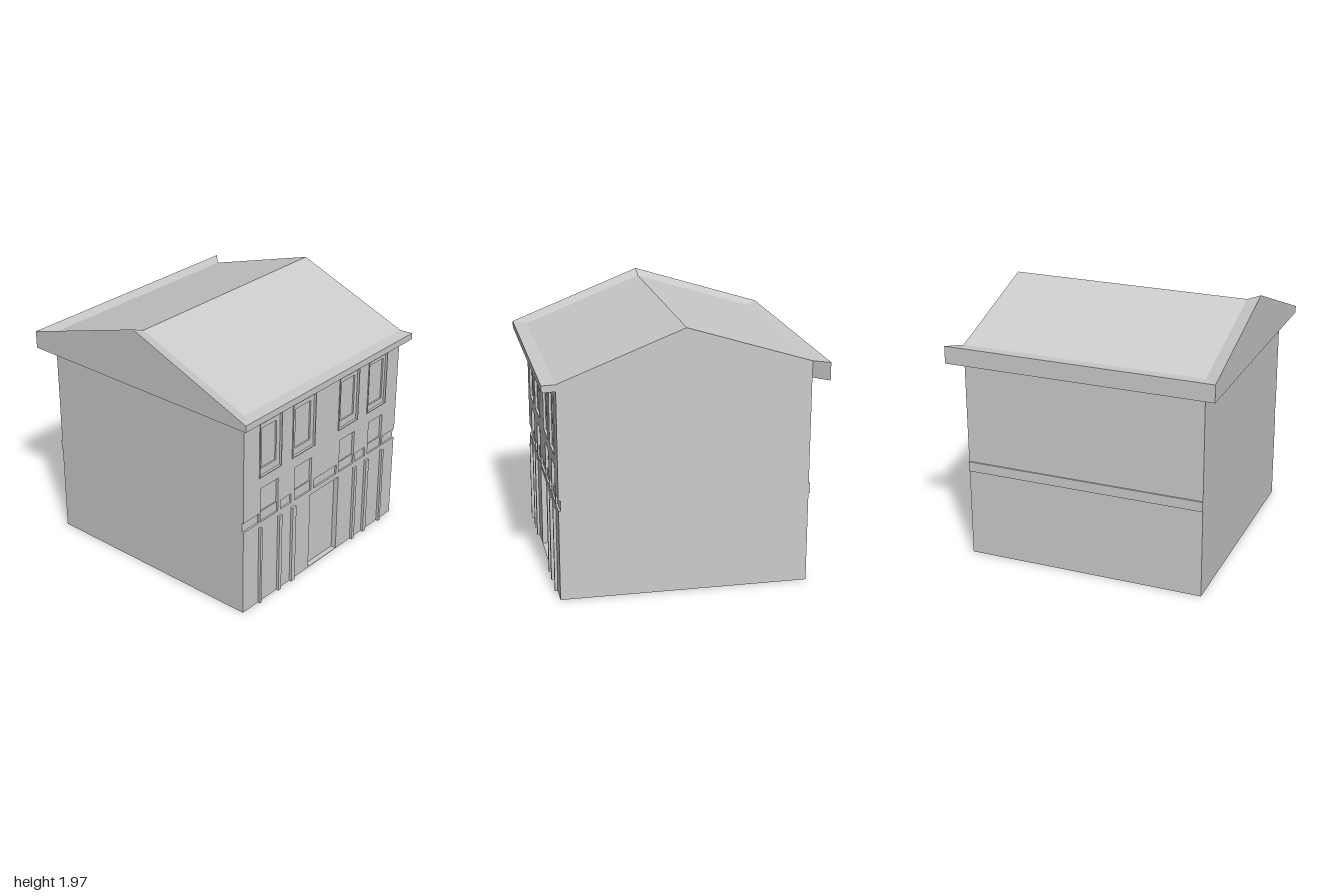
import * as THREE from 'three';

const mat = new THREE.MeshStandardMaterial({ color: 0xcccccc, flatShading: true });
const WALL = 0.9, EAVE = 1.53, CORE = 0.86;

function add(group, name, geometry) {
  const mesh = new THREE.Mesh(geometry, mat);
  mesh.name = name;
  group.add(mesh);
  return mesh;
}

// Box given by its limits
function box(group, name, x0, x1, y0, y1, z0, z1) {
  const g = new THREE.BoxGeometry(x1 - x0, y1 - y0, Math.abs(z1 - z0));
  g.translate((x0 + x1) / 2, (y0 + y1) / 2, (z0 + z1) / 2);
  return add(group, name, g);
}

// Rectangle on the side facade: horizontal axis is -z
function rect([zA, zB, y0, y1], inset = 0, Type = THREE.Path) {
  const p = new Type();
  const a = -zA + inset, b = -zB - inset, c = y0 + inset, d = y1 - inset;
  p.moveTo(a, c); p.lineTo(b, c); p.lineTo(b, d); p.lineTo(a, d); p.closePath();
  return p;
}

// Extrude a facade shape from x0 to x1
function slab(group, name, shape, x0, x1) {
  const g = new THREE.ExtrudeGeometry(shape, { depth: x1 - x0, bevelEnabled: false });
  g.rotateY(Math.PI / 2);
  g.translate(x0, 0, 0);
  return add(group, name, g);
}

// Roof: an eave section swept round three sides, two slopes and a back gable
function roofGeometry() {
  const outer = [[-1, 1.66, -1], [-1, 1.66, 1], [0, 1.97, 1], [1, 1.58, 1], [1, 1.58, -0.91]];
  const inner = [[-0.9, 1.65, -0.9], [-0.9, 1.65, 0.9], [0, 1.93, 0.9], [0.9, 1.58, 0.9], [0.9, 1.58, -0.9]];
  const ridgeBack = [0, 1.93, -0.9];
  const low = ([x, , z]) => [x, EAVE, z];
  const pos = [];
  const tri = (a, b, c) => pos.push(...a, ...b, ...c);
  const quad = (a, b, c, d) => { tri(a, b, c); tri(a, c, d); };
  const loops = outer.map((o, i) => [low(inner[i]), low(o), o, inner[i]]);
  for (let i = 0; i < 4; i++) {
    for (let j = 0; j < 3; j++) {
      quad(loops[i][j], loops[i + 1][j], loops[i + 1][j + 1], loops[i][j + 1]);
    }
  }
  quad(...loops[0]);
  quad(...[...loops[4]].reverse());
  quad(inner[0], inner[1], inner[2], ridgeBack);
  quad(ridgeBack, inner[2], inner[3], inner[4]);
  quad(low(inner[4]), low(inner[0]), inner[0], ridgeBack);
  tri(low(inner[4]), ridgeBack, inner[4]);
  const g = new THREE.BufferGeometry();
  g.setAttribute('position', new THREE.Float32BufferAttribute(pos, 3));
  g.computeVertexNormals();
  return g;
}

export function createModel() {
  const house = new THREE.Group();
  house.name = 'house';

  box(house, 'body', -WALL, CORE, 0, EAVE, -WALL, WALL);
  add(house, 'roof', roofGeometry());
  box(house, 'leftWallBand', -0.91, -WALL, 0.67, 0.745, -WALL, WALL);

  // Facade openings as [front z, back z, bottom, top]
  const door = [0.15, -0.19, 0.005, 0.63];
  const windows = [
    { frame: [0.735, 0.495, 1.03, 1.455], pane: [0.70, 0.54, 1.09, 1.40] },
    { frame: [0.375, 0.115, 1.03, 1.455], pane: [0.33, 0.16, 1.09, 1.40] },
    { frame: [-0.16, -0.40, 1.03, 1.455], pane: [-0.20, -0.36, 1.09, 1.405] },
    { frame: [-0.515, -0.75, 1.03, 1.455], pane: [-0.55, -0.715, 1.08, 1.41] },
  ];
  const lowerWindows = [[0.715, 0.525], [0.335, 0.145], [-0.19, -0.37], [-0.55, -0.725]];
  const bandPanels = [[0.495, 0.375], [0.115, -0.16], [-0.395, -0.515]];
  const endPanels = [[0.9, 0.73], [-0.745, -0.9]];

  // Facade skin, notched at both corners for the recessed band
  const skin = new THREE.Shape();
  [[-0.9, 0], [0.9, 0], [0.9, 0.67], [0.745, 0.67], [0.745, 0.745], [0.9, 0.745], [0.9, EAVE],
    [-0.9, EAVE], [-0.9, 0.745], [-0.73, 0.745], [-0.73, 0.67], [-0.9, 0.67]]
    .forEach(([u, y], i) => (i ? skin.lineTo(u, y) : skin.moveTo(u, y)));
  skin.closePath();
  skin.holes.push(rect(door));
  windows.forEach(w => skin.holes.push(rect(w.frame)));
  lowerWindows.forEach(([a, b]) => skin.holes.push(rect([a, b, 0.67, 0.94])));
  bandPanels.forEach(([a, b]) => skin.holes.push(rect([a, b, 0.67, 0.745])));
  slab(house, 'facade', skin, CORE, WALL);

  // Upper windows: raised rim, recessed surround, deeper pane
  windows.forEach(({ frame, pane }) => {
    const group = new THREE.Group();
    group.name = 'upperWindow';
    house.add(group);
    const rim = rect(frame, 0, THREE.Shape);
    rim.holes.push(rect(frame, 0.007));
    slab(group, 'windowRim', rim, CORE, 0.906);
    const surround = rect(frame, 0.007, THREE.Shape);
    surround.holes.push(rect(pane));
    slab(group, 'windowSurround', surround, CORE, 0.888);
    slab(group, 'windowPane', rect(pane, 0, THREE.Shape), CORE, 0.876);
  });

  // Lower windows with the panel below each
  lowerWindows.forEach(([a, b]) => {
    box(house, 'lowerWindowPane', CORE, 0.88, 0.745, 0.94, b, a);
    box(house, 'lowerWindowPanel', CORE, 0.888, 0.67, 0.745, b, a);
  });

  // Recessed band panels
  [...bandPanels, ...endPanels].forEach(([a, b]) =>
    box(house, 'bandPanel', CORE, 0.886, 0.67, 0.745, b, a));

  // Slim pilasters on the ground floor
  [[0.735, 0.715], [0.525, 0.495], [0.375, 0.335], [-0.37, -0.4], [-0.515, -0.55], [-0.72, -0.745]]
    .forEach(([a, b]) => box(house, 'pilaster', WALL, 0.92, 0, 0.63, b, a));

  return house;
}
